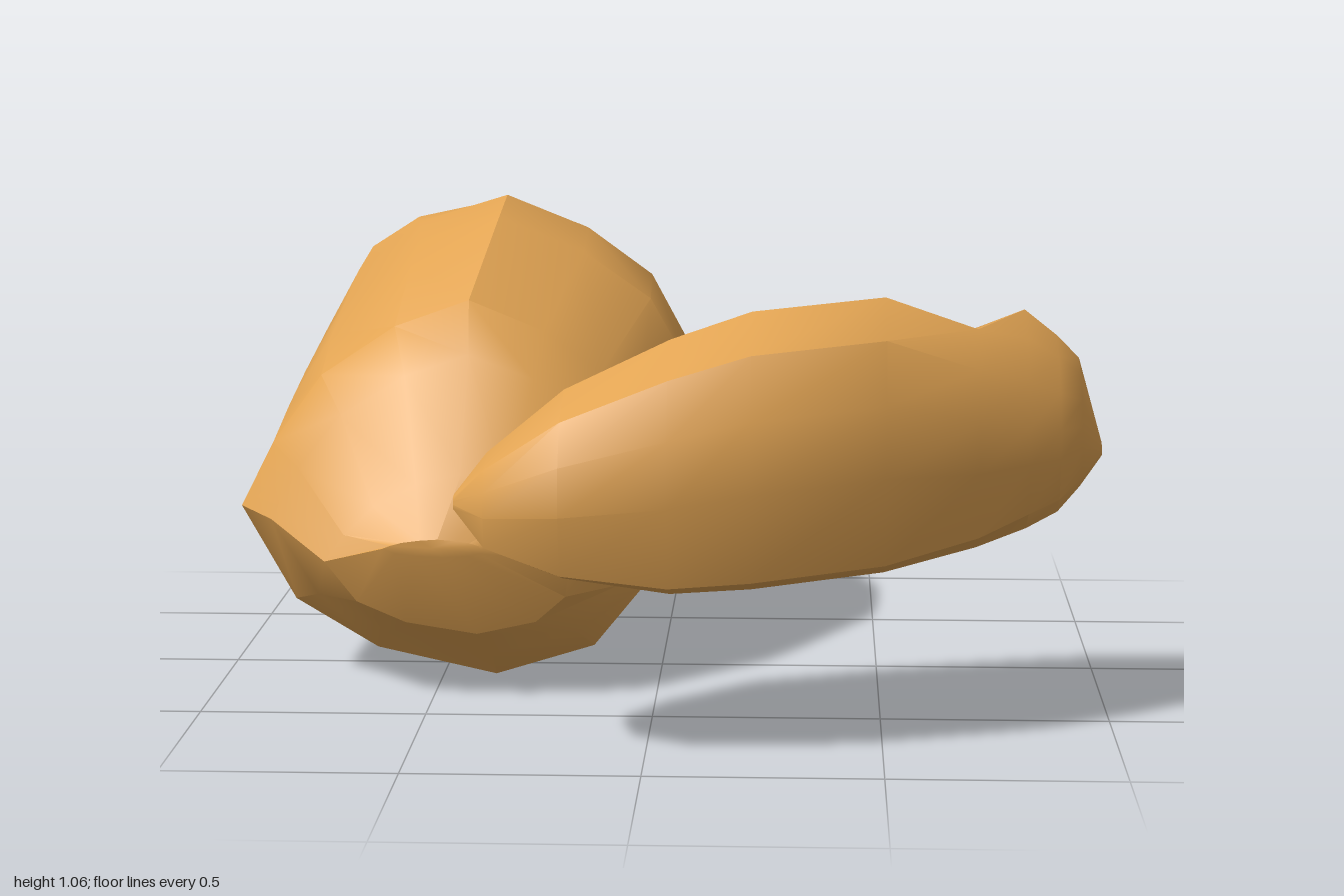
import * as THREE from 'three';
import { toCreasedNormals } from 'three/addons/utils/BufferGeometryUtils.js';

// Skins blended unit outlines over stations [t, uMin, uMax, vMin, vMax, outlinePosition]
// and closes both ends. A fractional outlinePosition mixes two neighbouring outlines.
function loft(outlines, stations, place) {
  const n = outlines[0].length;
  const points = [];
  const index = [];
  for (const [t, u0, u1, v0, v1, position] of stations) {
    const from = outlines[Math.floor(position)];
    const to = outlines[Math.ceil(position)];
    const mix = position % 1;
    from.forEach(([fu, fv], j) => {
      const u = THREE.MathUtils.lerp(fu, to[j][0], mix);
      const v = THREE.MathUtils.lerp(fv, to[j][1], mix);
      points.push(...place(t, u0 + (u1 - u0) * u, v0 + (v1 - v0) * v));
    });
  }
  for (const [t, u0, u1, v0, v1] of [stations[0], stations[stations.length - 1]]) {
    points.push(...place(t, (u0 + u1) / 2, (v0 + v1) / 2));
  }
  const first = stations.length * n;
  const lastRing = first - n;
  for (let j = 0; j < n; j++) {
    const k = (j + 1) % n;
    for (let i = 0; i < lastRing; i += n) {
      index.push(i + j, i + k, i + n + j, i + k, i + n + k, i + n + j);
    }
    index.push(first, k, j, first + 1, lastRing + j, lastRing + k);
  }
  const geometry = new THREE.BufferGeometry();
  geometry.setAttribute('position', new THREE.Float32BufferAttribute(points, 3));
  geometry.setIndex(index);
  return toCreasedNormals(geometry, 0.6);
}

export function createModel() {
  const group = new THREE.Group();
  const golden = new THREE.MeshStandardMaterial({ color: 0xe2a453 });
  golden.name = 'golden tan';

  const add = (name, geometry) => {
    const mesh = new THREE.Mesh(geometry, golden);
    mesh.name = name;
    group.add(mesh);
  };

  // Large chunk, back to front: boxy back corner, flat left slope, ridged front edge
  const largeBack = [
    [0, 0.33], [0.12, 0.15], [0.32, 0.04], [0.6, 0], [0.83, 0.08], [0.96, 0.27], [1, 0.48],
    [0.98, 0.66], [0.9, 0.82], [0.76, 0.94], [0.56, 1], [0.27, 0.99], [0.11, 0.89], [0.03, 0.74],
  ];
  const largeMiddle = [
    [0, 0.36], [0.13, 0.16], [0.33, 0.05], [0.6, 0], [0.83, 0.07], [0.97, 0.25], [1, 0.48],
    [0.98, 0.66], [0.9, 0.81], [0.75, 0.92], [0.56, 1], [0.36, 0.88], [0.18, 0.72], [0.08, 0.55],
  ];
  const largeFront = [
    [0, 0.45], [0.13, 0.2], [0.33, 0.07], [0.62, 0], [0.86, 0.08], [0.98, 0.24], [1, 0.46],
    [0.97, 0.66], [0.88, 0.81], [0.74, 0.92], [0.56, 1], [0.38, 0.93], [0.2, 0.8], [0.08, 0.62],
  ];
  const largeStations = [
    [-1, -0.57, -0.43, 0.43, 0.6, 0],
    [-0.98, -0.66, -0.35, 0.37, 0.77, 0],
    [-0.94, -0.74, -0.25, 0.3, 0.87, 0],
    [-0.85, -0.86, -0.11, 0.2, 0.97, 0],
    [-0.66, -0.92, -0.01, 0.1, 1.03, 0.5],
    [-0.42, -0.97, 0.06, 0.05, 1.06, 0.9],
    [-0.18, -0.98, 0.07, 0.03, 1.03, 1],
    [0.11, -0.965, -0.02, 0, 0.87, 2],
    [0.22, -0.88, -0.07, 0.07, 0.76, 2],
    [0.36, -0.74, -0.19, 0.15, 0.51, 2],
    [0.44, -0.6, -0.38, 0.34, 0.38, 2],
  ];
  add('largeChunk', loft([largeBack, largeMiddle, largeFront], largeStations,
    (z, x, y) => [x, y, z]));

  // Small chunk, right end to left end: steep front, crest moving backwards at the left
  const smallBody = [
    [1, 0.4], [0.92, 0.07], [0.7, 0], [0.35, 0.1], [0.1, 0.3], [0, 0.55],
    [0.09, 0.72], [0.3, 0.87], [0.6, 1], [0.88, 0.88], [0.98, 0.66],
  ];
  const smallTip = [
    [1, 0.35], [0.9, 0.1], [0.7, 0], [0.35, 0.1], [0.1, 0.28], [0, 0.55],
    [0.07, 0.75], [0.28, 1], [0.6, 0.9], [0.85, 0.72], [0.97, 0.52],
  ];
  const smallStations = [
    [-0.4, 0.77, 0.83, 0.52, 0.55, 0],
    [-0.33, 0.65, 0.92, 0.44, 0.64, 0],
    [-0.17, 0.48, 0.995, 0.38, 0.77, 0],
    [0.05, 0.39, 0.975, 0.34, 0.87, 0],
    [0.22, 0.335, 0.955, 0.345, 0.925, 0],
    [0.5, 0.25, 0.86, 0.365, 0.945, 0],
    [0.7, 0.225, 0.72, 0.4, 0.885, 0.4],
    [0.81, 0.22, 0.63, 0.43, 0.885, 1],
    [0.88, 0.255, 0.56, 0.46, 0.83, 1],
    [0.93, 0.28, 0.5, 0.51, 0.78, 1],
    [0.98, 0.36, 0.4, 0.57, 0.6, 1],
  ];
  add('smallChunk', loft([smallBody, smallTip], smallStations, (x, z, y) => [x, y, z]));

  return group;
}
